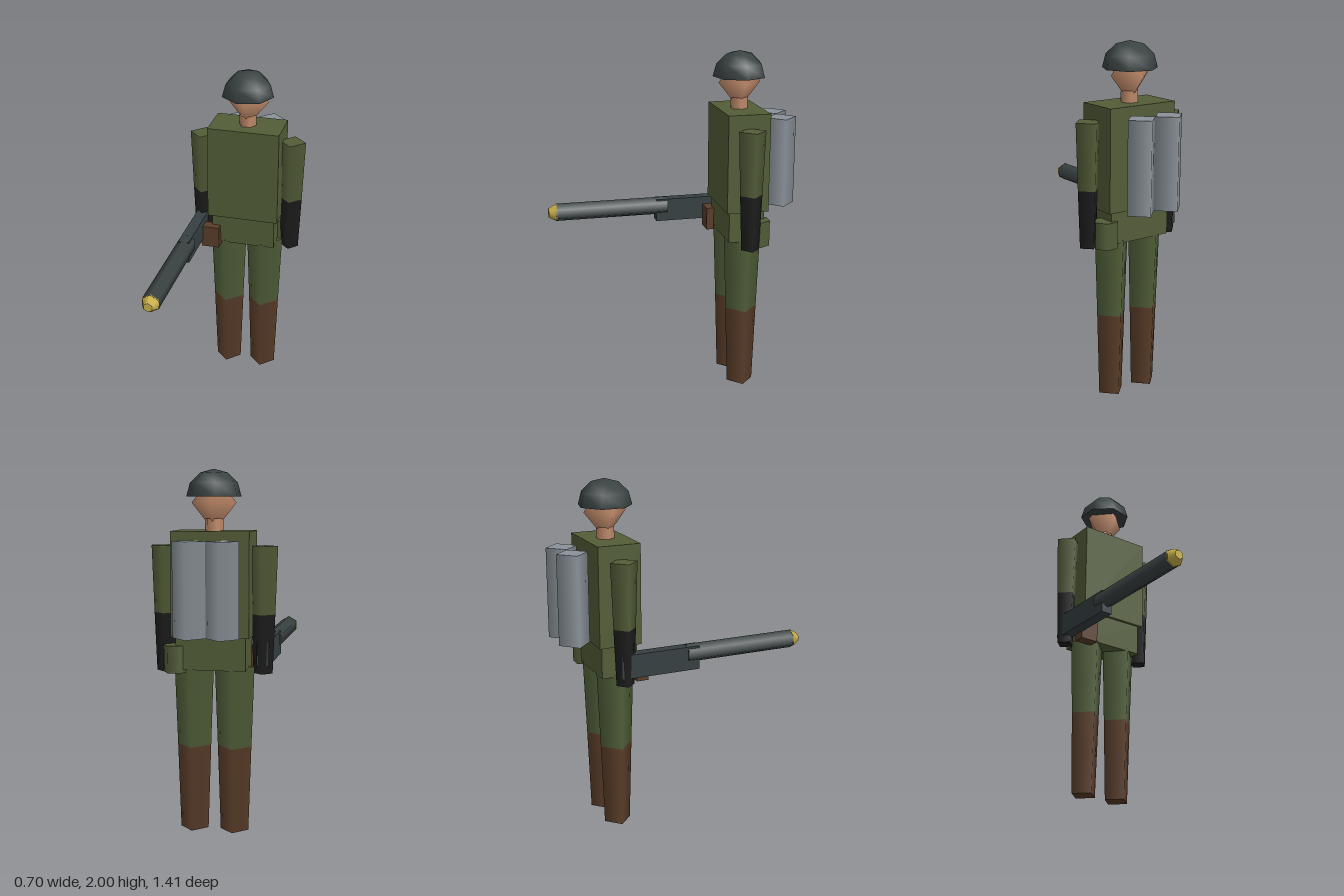
import * as THREE from 'three';

const mat = (name, color) => {
  const m = new THREE.MeshStandardMaterial({ color });
  m.name = name;
  return m;
};

export function createModel() {
  const olive = mat('olive cloth', 0x535d38);
  const trouser = mat('green trousers', 0x515f39);
  const leather = mat('brown leather', 0x5a3d29);
  const black = mat('black glove', 0x1d1d1e);
  const skin = mat('skin', 0xc08a6a);
  const steel = mat('dark steel', 0x394141);
  const receiverSteel = mat('receiver steel', 0x363f42);
  const tankGrey = mat('tank grey', 0x8a9299);
  const brass = mat('brass', 0xc9b048);

  const model = new THREE.Group();
  const Z = -0.387; // depth of the body axis

  const add = (name, geo, material, x = 0, y = 0, z = 0) => {
    const mesh = new THREE.Mesh(geo, material);
    mesh.name = name;
    mesh.position.set(x, y, z);
    model.add(mesh);
    return mesh;
  };
  // Upright prism from y0 to y1 with a corner facing +x
  const column = (name, material, r0, r1, y0, y1, x, z, sides = 4) =>
    add(name, new THREE.CylinderGeometry(r1, r0, y1 - y0, sides).rotateY(Math.PI / 2),
      material, x, (y0 + y1) / 2, z);
  // Prism lying along z, from z0 to z1
  const rod = (name, material, r0, r1, z0, z1, x, y, sides = 6) =>
    add(name, new THREE.CylinderGeometry(r1, r0, z1 - z0, sides).rotateX(Math.PI / 2),
      material, x, y, (z0 + z1) / 2);
  // Box given by its limits
  const box = (name, material, x0, x1, y0, y1, z0, z1) =>
    add(name, new THREE.BoxGeometry(x1 - x0, y1 - y0, z1 - z0), material,
      (x0 + x1) / 2, (y0 + y1) / 2, (z0 + z1) / 2);

  // Torso and hips
  box('torso', olive, -0.215, 0.215, 1.1, 1.67, -0.511, -0.265);
  box('hips', olive, -0.193, 0.193, 0.918, 1.1, -0.493, -0.284);

  // Limbs and back tanks, mirrored
  for (const [side, s] of [['left', 1], ['right', -1]]) {
    column(side + 'Boot', leather, 0.079, 0.095, 0, 0.48, s * 0.114, Z);
    column(side + 'Leg', trouser, 0.095, 0.111, 0.48, 0.93, s * 0.114, Z);
    column(side + 'UpperArm', olive, 0.066, 0.079, 1.22, 1.59, s * 0.272, Z);
    column(side + 'Forearm', black, 0.053, 0.066, 0.896, 1.22, s * 0.272, Z);
    column(side + 'Tank', tankGrey, 0.09, 0.09, 1.11, 1.623, s * 0.09, -0.614);
  }

  // Neck and head
  column('neck', skin, 0.051, 0.051, 1.66, 1.735, 0, Z, 6);
  add('head', new THREE.SphereGeometry(0.124, 4, 2).scale(1, 1.25, 1), skin, 0, 1.82, Z);

  // Helmet dome and its underside
  add('helmet', new THREE.SphereGeometry(0.154, 7, 3, 0, Math.PI * 2, 0, Math.PI / 2)
    .rotateY(Math.PI).scale(1, 0.148 / 0.154, 1), steel, 0, 1.852, Z);
  add('helmetUnderside', new THREE.CircleGeometry(0.154, 7).rotateX(Math.PI / 2),
    steel, 0, 1.852, Z);

  // Belt gear
  box('pouch', leather, -0.25, -0.14, 0.896, 1.03, -0.308, -0.24);
  column('canteen', olive, 0.07, 0.07, 0.9, 1.05, 0.2, -0.454, 6);

  // Projector carried in the right hand
  box('receiver', receiverSteel, -0.308, -0.242, 0.939, 1.075, -0.42, 0.05);
  rod('barrel', steel, 0.054, 0.054, -0.02, 0.66, -0.272, 1.03);
  rod('nozzle', brass, 0.056, 0.028, 0.655, 0.703, -0.272, 1.03);

  return model;
}
